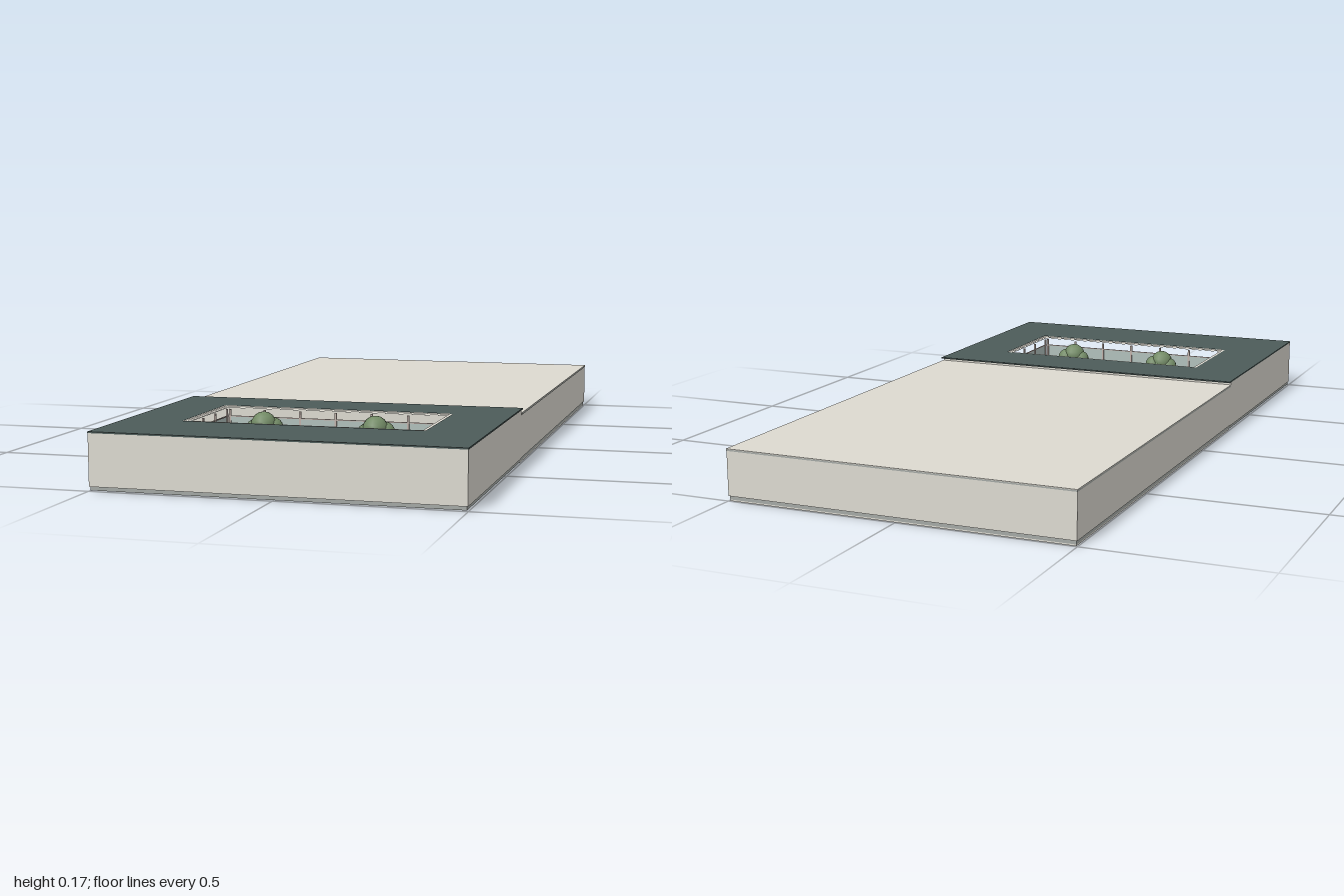
import * as THREE from 'three';

const mat = (name, color) => {
  const m = new THREE.MeshStandardMaterial({ color });
  m.name = name;
  return m;
};

export function createModel() {
  const root = new THREE.Group();
  root.name = 'hallWithCourtyard';
  const wall = mat('wall stone', 0xdcd9d0);
  const roof = mat('dark roof', 0x4c5b59);
  const plinth = mat('plinth grey', 0xa3a8a4);
  const dark = mat('dark trim', 0x414b44);
  const lawn = mat('lawn', 0x9da7a0);
  const glass = mat('glass', 0xb0bfbb);
  const post = mat('post', 0xbfb1aa);
  const leaf = mat('foliage', 0x728a65);
  const shrubGreen = mat('shrub green', 0x6c8058);
  const bark = mat('bark', 0x7a6553);

  // box given by its extents on each axis
  const box = (name, m, x0, x1, y0, y1, z0, z1, parent = root) => {
    const mesh = new THREE.Mesh(new THREE.BoxGeometry(x1 - x0, y1 - y0, z1 - z0), m);
    mesh.position.set((x0 + x1) / 2, (y0 + y1) / 2, (z0 + z1) / 2);
    mesh.name = name;
    parent.add(mesh);
  };
  // rectangular ring: outer and inner [x0, x1, z0, z1], between two heights
  const ring = (name, m, o, i, y0, y1) => {
    const path = (p, [x0, x1, z0, z1]) =>
      p.moveTo(x0, -z0).lineTo(x1, -z0).lineTo(x1, -z1).lineTo(x0, -z1).closePath();
    const shape = path(new THREE.Shape(), o);
    shape.holes.push(path(new THREE.Path(), i));
    const g = new THREE.ExtrudeGeometry(shape, { depth: y1 - y0, bevelEnabled: false });
    g.rotateX(-Math.PI / 2);
    const mesh = new THREE.Mesh(g, m);
    mesh.position.y = y0;
    mesh.name = name;
    root.add(mesh);
  };

  // rear hall
  box('hallBase', wall, -0.496, 0.496, 0, 0.004, -0.996, 0.28);
  box('hallPlinth', plinth, -0.496, 0.496, 0.004, 0.014, -0.996, 0.28);
  box('hallWalls', wall, -0.499, 0.499, 0.014, 0.138, -0.999, 0.28);
  box('hallRoofEdge', plinth, -0.5, 0.5, 0.138, 0.142, -1, 0.279);
  box('hallRoof', wall, -0.5, 0.5, 0.142, 0.144, -1, 0.279);

  // front block around the courtyard
  const court = [-0.325, 0.325, 0.445, 0.745];
  const opening = [-0.335, 0.335, 0.435, 0.757];
  box('frontPlinth', plinth, -0.496, 0.496, 0.002, 0.012, 0.28, 0.996);
  ring('frontWalls', wall, [-0.499, 0.499, 0.28, 0.999], court, 0.012, 0.152);
  ring('frontRoof', roof, [-0.5, 0.5, 0.265, 1], opening, 0.152, 0.156);
  ring('courtyardCoping', wall, opening, court, 0.152, 0.155);
  ring('courtyardDrip', plinth, [-0.326, 0.326, 0.444, 0.746], [-0.322, 0.322, 0.448, 0.742], 0.148, 0.151);

  // courtyard floor and lawns
  box('courtyardPaving', wall, -0.325, 0.325, 0.012, 0.018, 0.445, 0.745);
  for (const s of [-1, 1]) {
    for (const [z0, z1] of [[0.462, 0.558], [0.638, 0.735]]) {
      const xs = [s * 0.045, s * 0.312].sort((a, b) => a - b);
      box('lawn', lawn, xs[0], xs[1], 0.018, 0.021, z0, z1);
    }
  }

  // glazing and posts on the courtyard walls
  const glazing = new THREE.Group();
  glazing.name = 'courtyardGlazing';
  root.add(glazing);
  for (const [z, d] of [[0.445, 1], [0.745, -1]]) {
    const span = (a, b) => [z + d * a, z + d * b].sort((p, q) => p - q);
    box('longWindow', glass, -0.318, 0.318, 0.024, 0.126, ...span(0, 0.002), glazing);
    box('windowHead', post, -0.32, 0.32, 0.126, 0.129, ...span(0, 0.004), glazing);
    for (let i = 0; i <= 6; i++) {
      const x = -0.316 + i * 0.1053;
      box('windowPost', post, x - 0.003, x + 0.003, 0.018, 0.148, ...span(0, 0.005), glazing);
    }
  }
  for (const s of [-1, 1]) {
    const span = (a, b) => [s * (0.325 - a), s * (0.325 - b)].sort((p, q) => p - q);
    box('shortWindow', glass, ...span(0, 0.002), 0.024, 0.126, 0.452, 0.738, glazing);
    box('windowHead', post, ...span(0, 0.004), 0.126, 0.129, 0.45, 0.74, glazing);
    for (let i = 0; i <= 3; i++) {
      const z = 0.455 + i * 0.0933;
      box('windowPost', post, ...span(0, 0.005), 0.018, 0.148, z - 0.003, z + 0.003, glazing);
    }
  }

  // planters with a row of little shrubs
  const shrubGeo = new THREE.IcosahedronGeometry(0.0105, 1);
  for (const x of [-0.16, 0.158]) {
    for (const z of [0.497, 0.7]) {
      const planter = new THREE.Group();
      planter.name = 'planter';
      planter.position.set(x, 0.02, z);
      root.add(planter);
      box('trough', dark, -0.075, 0.075, 0, 0.016, -0.021, 0.021, planter);
      for (let i = 0; i < 6; i++) {
        const shrub = new THREE.Mesh(shrubGeo, shrubGreen);
        shrub.name = 'shrub';
        shrub.position.set(-0.06 + i * 0.024, 0.019, 0);
        planter.add(shrub);
      }
    }
  }

  // trees: trunk and a clump of rounded foliage
  const clumps = [
    [0, 0.131, 0.004, 0.036], [-0.024, 0.117, 0.004, 0.028], [0.024, 0.122, -0.007, 0.028],
    [0.004, 0.112, 0.012, 0.026], [0.003, 0.116, -0.011, 0.025],
  ];
  for (const x of [-0.16, 0.158]) {
    const tree = new THREE.Group();
    tree.name = 'tree';
    tree.position.set(x, 0, 0.598);
    root.add(tree);
    const trunk = new THREE.Mesh(new THREE.CylinderGeometry(0.005, 0.008, 0.09, 8), bark);
    trunk.name = 'trunk';
    trunk.position.y = 0.063;
    tree.add(trunk);
    for (const [cx, cy, cz, r] of clumps) {
      const clump = new THREE.Mesh(new THREE.SphereGeometry(r, 12, 8), leaf);
      clump.name = 'foliage';
      clump.position.set(cx, cy, cz);
      tree.add(clump);
    }
  }
  return root;
}
